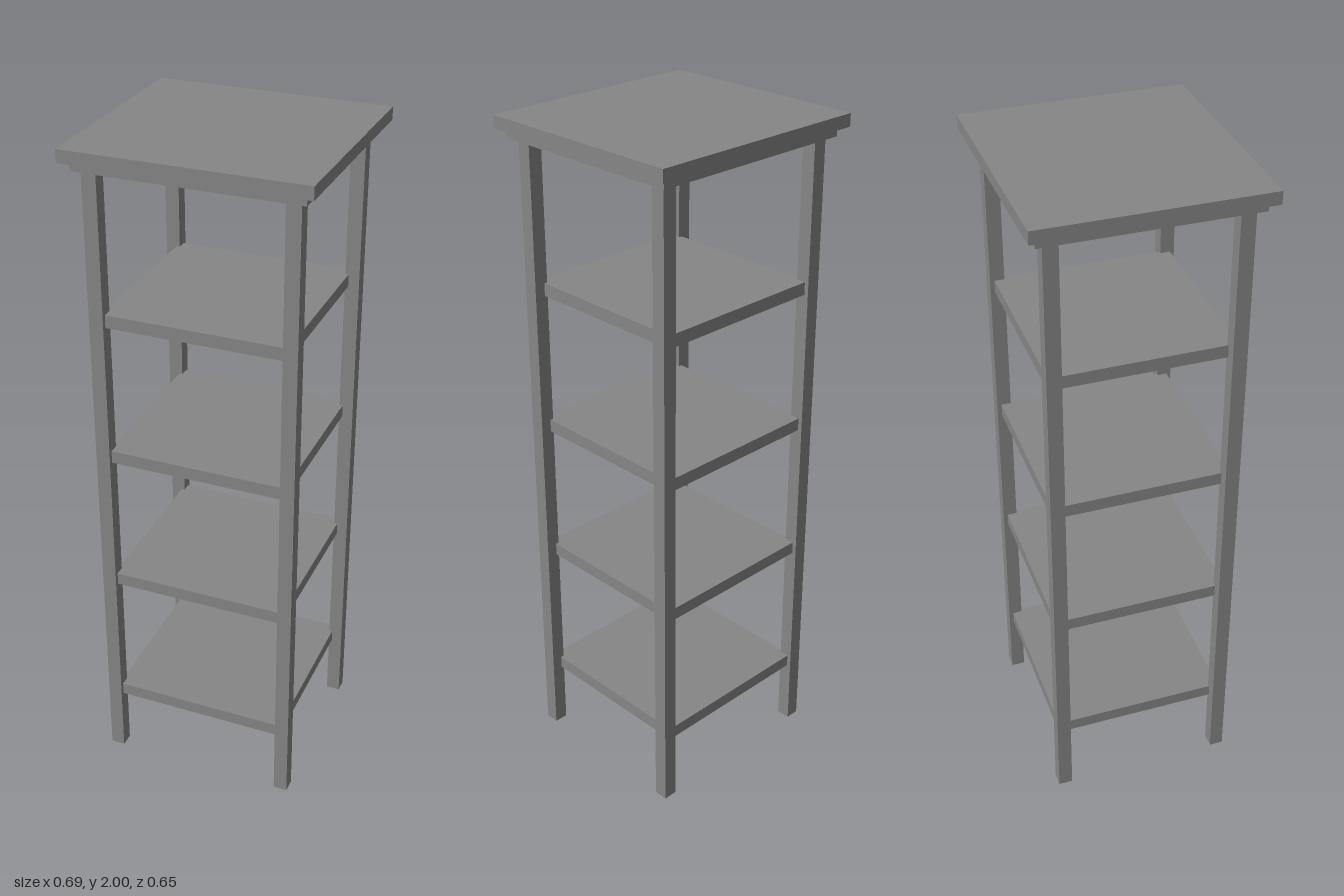
import * as THREE from 'three';

const material = new THREE.MeshStandardMaterial({ color: 0x868686, flatShading: true });
const hollowMaterial = new THREE.MeshStandardMaterial({ color: 0x868686, flatShading: true, side: THREE.DoubleSide });

// Box centred on x and z, spanning y0..y1
function box(name, width, depth, y0, y1) {
  const mesh = new THREE.Mesh(new THREE.BoxGeometry(width, y1 - y0, depth), material);
  mesh.position.y = (y0 + y1) / 2;
  mesh.name = name;
  return mesh;
}

// Square post, open at the foot
function post(name, size, height, x, z) {
  const radius = size / Math.SQRT2;
  const geometry = new THREE.CylinderGeometry(radius, radius, height, 4, 1, true).rotateY(Math.PI / 4);
  const mesh = new THREE.Mesh(geometry, hollowMaterial);
  mesh.position.set(x, height / 2, z);
  mesh.name = name;
  return mesh;
}

export function createModel() {
  const model = new THREE.Group();
  model.name = 'shelfStand';

  // Stepped top: wide slab over a narrower moulding
  model.add(box('topSlab', 0.69, 0.646, 1.963, 2));
  model.add(box('topMoulding', 0.64, 0.6, 1.937, 1.963));

  // Four square posts
  for (const sx of [-1, 1]) {
    for (const sz of [-1, 1]) {
      const name = (sz > 0 ? 'front' : 'back') + (sx > 0 ? 'Left' : 'Right') + 'Post';
      model.add(post(name, 0.042, 1.937, sx * 0.279, sz * 0.257));
    }
  }

  // Four evenly spaced shelves, let into the posts
  for (let i = 0; i < 4; i++) {
    const y = 0.204 + i * 0.4285;
    model.add(box('shelf' + (i + 1), 0.536, 0.53, y, y + 0.038));
  }

  return model;
}
